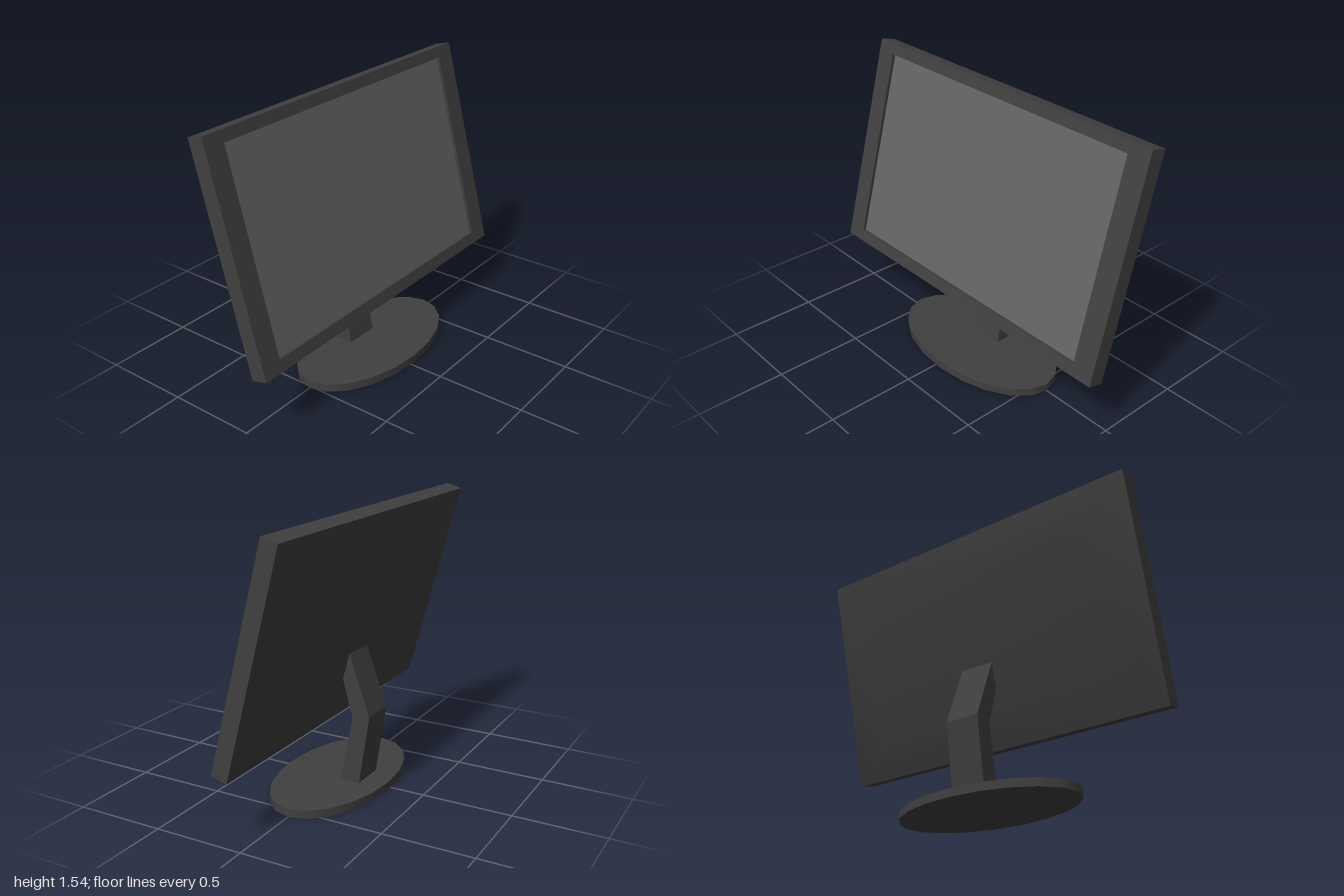
import * as THREE from 'three';

const body = new THREE.MeshStandardMaterial({ color: 0x404040 });
const glass = new THREE.MeshStandardMaterial({ color: 0x636363 });

function add(parent, name, geometry, material = body) {
  const mesh = new THREE.Mesh(geometry, material);
  mesh.name = name;
  parent.add(mesh);
  return mesh;
}

// Rectangle outline, counter-clockwise
function rect(x0, y0, x1, y1, Type = THREE.Shape) {
  return new Type([[x0, y0], [x1, y0], [x1, y1], [x0, y1]].map(([x, y]) => new THREE.Vector2(x, y)));
}

// Shallow smooth-shaded back: outer rectangle tapering to a smaller raised one
function backCover(w, h, z, innerW, innerH, innerZ) {
  const corners = [[-1, -1], [1, -1], [1, 1], [-1, 1]];
  const points = [];
  for (const [a, b, c] of [[w, h, z], [innerW, innerH, innerZ]])
    for (const [sx, sy] of corners) points.push(sx * a, sy * b, c);
  const index = [4, 6, 5, 4, 7, 6];
  for (let i = 0; i < 4; i++) {
    const j = (i + 1) % 4;
    index.push(i, i + 4, j, j, i + 4, j + 4);
  }
  const geometry = new THREE.BufferGeometry();
  geometry.setAttribute('position', new THREE.Float32BufferAttribute(points, 3));
  geometry.setIndex(index);
  geometry.computeVertexNormals();
  return geometry;
}

export function createModel() {
  const model = new THREE.Group();
  model.name = 'monitor';

  // Display, leaning back 15 degrees about the middle of its front face
  const W = 1, H = 0.608, depth = 0.093;
  const display = new THREE.Group();
  display.name = 'display';
  display.position.set(0, 0.953, -0.002);
  display.rotation.x = -THREE.MathUtils.degToRad(15);
  model.add(display);

  // Frame with the screen opening
  const frame = rect(-W, -H, W, H);
  frame.holes.push(rect(-0.88, -0.541, 0.872, 0.546, THREE.Path));
  add(display, 'frame', new THREE.ExtrudeGeometry(frame, { depth, bevelEnabled: false })
    .translate(0, 0, -depth));

  // Recessed screen
  add(display, 'screen', new THREE.BoxGeometry(1.752, 1.087, 0.03)
    .translate(-0.004, 0.0025, -0.033), glass);

  add(display, 'backCover', backCover(W, H, -depth, 0.68, 0.395, -0.151));

  // Bent arm: side profile as (z, y), extruded across x
  const profile = [[-0.17, 0.04], [-0.055, 0.04], [-0.13, 0.415], [-0.06, 0.665], [-0.095, 0.81], [-0.23, 0.435]];
  const arm = new THREE.Shape(profile.map(([z, y]) => new THREE.Vector2(z, y)));
  add(model, 'standArm', new THREE.ExtrudeGeometry(arm, { depth: 0.2, bevelEnabled: false })
    .rotateY(-Math.PI / 2).translate(0.12, 0, 0));

  // Oval foot
  add(model, 'base', new THREE.CylinderGeometry(1, 1, 0.045, 20)
    .scale(0.543, 1, 0.305).translate(0.03, 0.0225, 0));

  return model;
}
